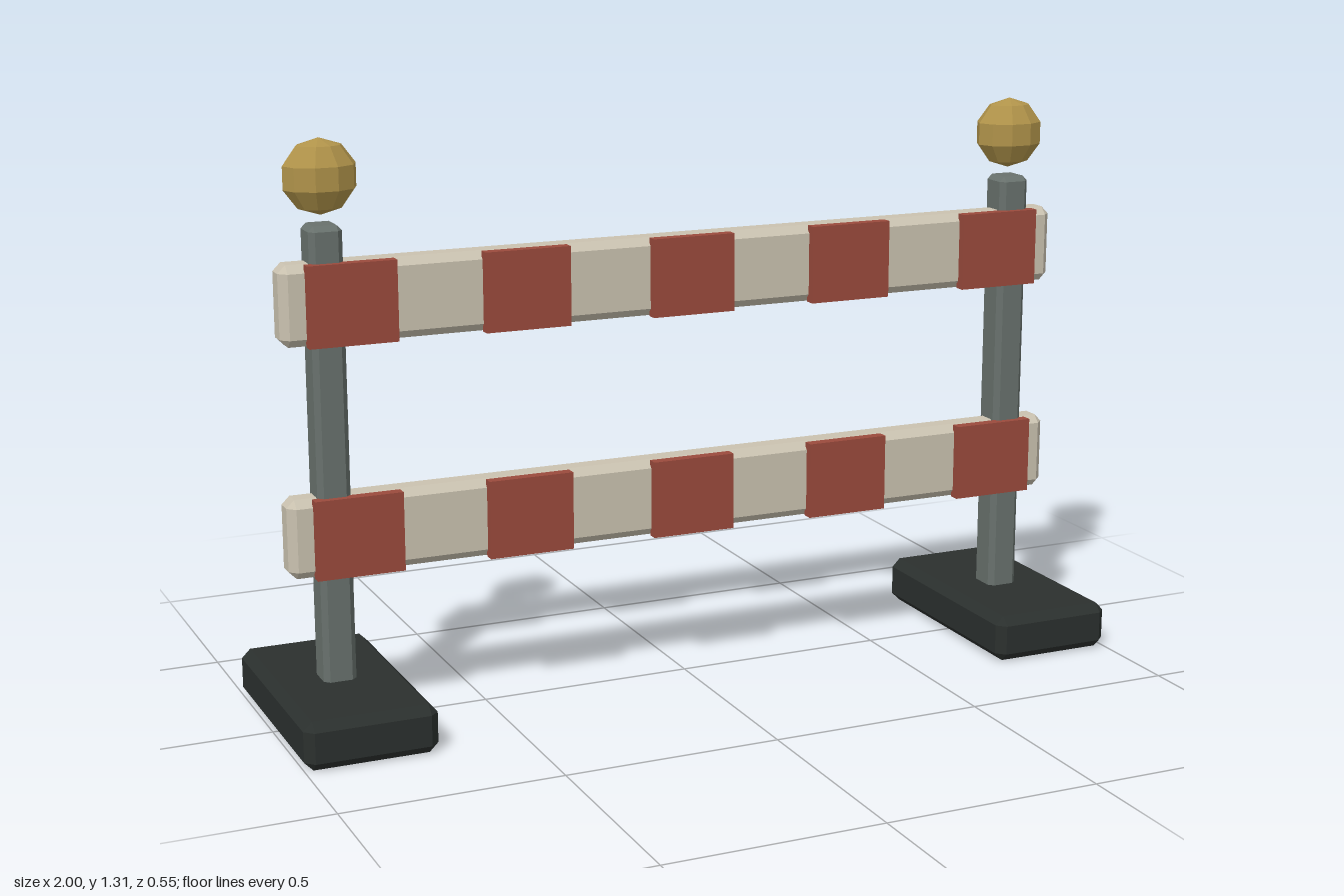
import * as THREE from 'three';
import { ConvexGeometry } from 'three/addons/geometries/ConvexGeometry.js';

const mat = (color) => new THREE.MeshStandardMaterial({ color, flatShading: true });

// Box with every edge cut by a flat chamfer c
function chamferBox(w, h, d, c) {
  const half = [w / 2, h / 2, d / 2], pts = [];
  for (const sx of [-1, 1]) for (const sy of [-1, 1]) for (const sz of [-1, 1])
    for (let full = 0; full < 3; full++) {
      const p = half.map((v, i) => (i === full ? v : v - c));
      pts.push(new THREE.Vector3(p[0] * sx, p[1] * sy, p[2] * sz));
    }
  return new ConvexGeometry(pts);
}

export function createModel() {
  const model = new THREE.Group();
  model.name = 'roadBarrier';
  const rubber = mat(0x2b302e), steel = mat(0x68716d), cream = mat(0xcac2b0);
  const red = mat(0x9a4a3c), amber = mat(0xb0934a);

  function add(name, geometry, material, x, y, z) {
    const mesh = new THREE.Mesh(geometry, material);
    mesh.name = name;
    mesh.position.set(x, y, z);
    model.add(mesh);
    return mesh;
  }

  // Foot, post and warning lamp on each side
  const foot = chamferBox(0.3, 0.11, 0.55, 0.02);
  const post = chamferBox(0.075, 1.05, 0.08, 0.012);
  const lamp = new THREE.SphereGeometry(1, 10, 5);
  lamp.scale(0.085, 0.083, 0.065);
  for (const [side, s] of [['left', 1], ['right', -1]]) {
    const x = 0.85 * s;
    add(side + 'Foot', foot, rubber, x, 0.055, 0);
    add(side + 'Post', post, steel, x, 0.605, 0);
    add(side + 'Lamp', lamp, amber, x, 1.232, 0);
  }

  // Two boards, each with five raised stripes on the front
  const board = chamferBox(1.91, 0.18, 0.074, 0.018);
  const stripe = new THREE.BoxGeometry(0.2, 0.18, 0.026);
  for (const [level, y] of [['lower', 0.442], ['upper', 0.96]]) {
    add(level + 'Board', board, cream, 0, y, 0);
    for (let i = -2; i <= 2; i++) add(level + 'Stripe' + (i + 3), stripe, red, i * 0.4, y, 0.043);
  }
  return model;
}
